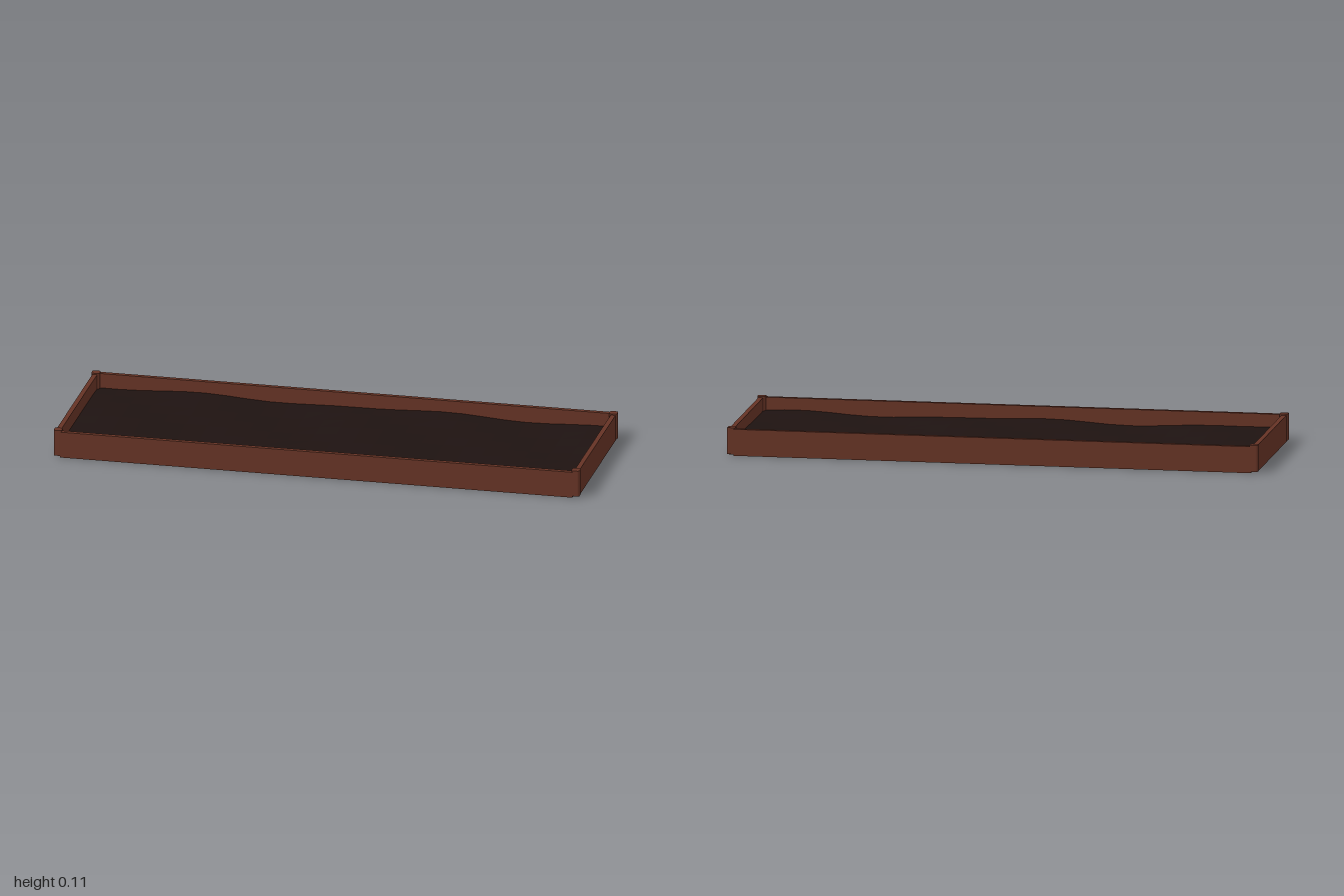
import * as THREE from 'three';

const wood = new THREE.MeshStandardMaterial({ color: 0x653325 });
const earth = new THREE.MeshStandardMaterial({ color: 0x1e1311, flatShading: true, side: THREE.DoubleSide });

function addBoard(parent, name, size, position) {
  const mesh = new THREE.Mesh(new THREE.BoxGeometry(...size), wood);
  mesh.name = name;
  mesh.position.set(...position);
  parent.add(mesh);
}

// Square post with rounded corners, standing along y
function postGeometry(half, radius, height) {
  const s = new THREE.Shape();
  const c = half - radius;
  s.absarc(c, c, radius, 0, Math.PI / 2);
  s.absarc(-c, c, radius, Math.PI / 2, Math.PI);
  s.absarc(-c, -c, radius, Math.PI, Math.PI * 1.5);
  s.absarc(c, -c, radius, Math.PI * 1.5, Math.PI * 2);
  s.closePath();
  const g = new THREE.ExtrudeGeometry(s, { depth: height, bevelEnabled: false, curveSegments: 4 });
  return g.rotateX(-Math.PI / 2);
}

// Gently uneven soil sheet
function soilGeometry(width, depth) {
  const g = new THREE.PlaneGeometry(width, depth, 24, 8).rotateX(-Math.PI / 2);
  const p = g.attributes.position;
  for (let i = 0; i < p.count; i++) {
    const x = p.getX(i), z = p.getZ(i);
    p.setY(i, 0.047 + 0.006 * Math.sin(x * 7 + z * 3 + 0.6) + 0.003 * Math.sin(x * 13 - z * 9));
  }
  g.computeVertexNormals();
  return g;
}

export function createModel() {
  const model = new THREE.Group();
  model.name = 'planterBed';

  // Side boards
  const t = 0.018;
  for (const s of [1, -1]) {
    addBoard(model, s > 0 ? 'frontBoard' : 'backBoard', [1.95, 0.1, t], [0, 0.05, s * (0.333 - t / 2)]);
    addBoard(model, s > 0 ? 'leftBoard' : 'rightBoard', [t, 0.1, 0.62], [s * (0.995 - t / 2), 0.05, 0]);
  }

  // Corner posts, slightly proud of the boards
  const post = postGeometry(0.0155, 0.007, 0.1);
  for (const x of [1, -1]) {
    for (const z of [1, -1]) {
      const mesh = new THREE.Mesh(post, wood);
      mesh.name = (z > 0 ? 'front' : 'back') + (x > 0 ? 'Left' : 'Right') + 'Post';
      mesh.position.set(x * 0.9845, 0.005, z * 0.315);
      model.add(mesh);
    }
  }

  // Soil
  const soil = new THREE.Mesh(soilGeometry(1.96, 0.636), earth);
  soil.name = 'soil';
  model.add(soil);

  return model;
}
